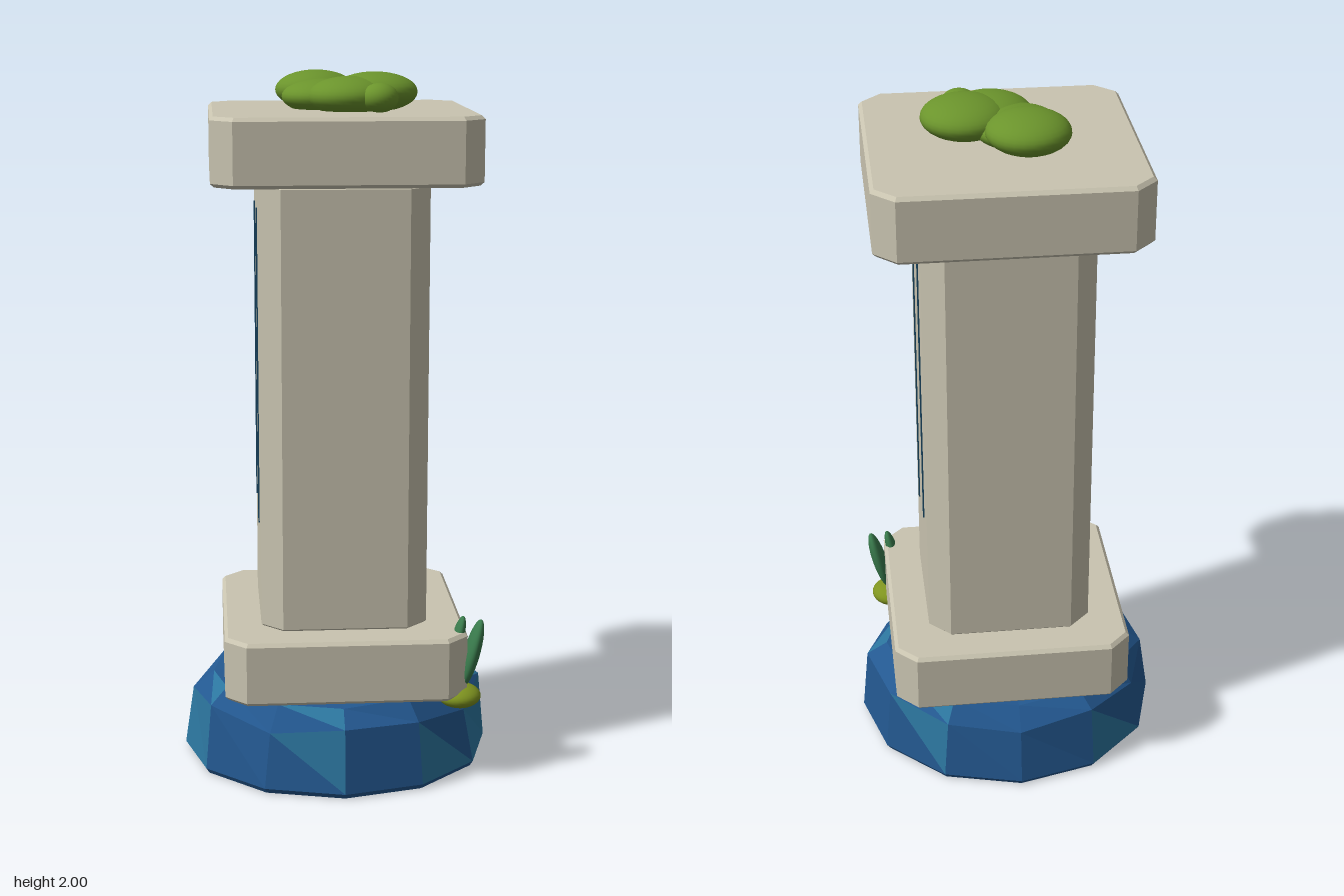
import * as THREE from 'three';

const mat = (name, color) => {
  const m = new THREE.MeshStandardMaterial({ color });
  m.name = name;
  return m;
};

export function createModel() {
  const stone = mat('pale stone', 0xc9c4b0);
  const blue = mat('blue rock', 0x235890);
  const teal = mat('teal rock', 0x2c769f);
  const slitBlue = mat('dark slit', 0x1b4a68);
  const moss = mat('moss green', 0x6b942c);
  const leafGreen = mat('leaf green', 0x397a4c);
  const olive = mat('olive green', 0x7f9420);
  blue.flatShading = teal.flatShading = true;

  const model = new THREE.Group();
  model.name = 'pillar';
  const add = (name, geometry, material, parent = model) => {
    const mesh = new THREE.Mesh(geometry, material);
    mesh.name = name;
    parent.add(mesh);
    return mesh;
  };

  // Faceted rock base: rings of 12 corners, slightly uneven, with teal facets
  const SIDES = 12;
  const profile = [[0, 0.44], [0.015, 0.45], [0.19, 0.425], [0.245, 0.37]];
  const corner = (ring, i) => {
    const k = i % SIDES, a = (k / SIDES) * Math.PI * 2;
    const [y, r] = profile[ring];
    const wobble = ring > 1 ? Math.sin(k * 2.3 + ring) : 0;
    const rr = r + wobble * 0.008;
    return [Math.cos(a) * rr, y + wobble * (ring === 2 ? 0.02 : 0.008), Math.sin(a) * rr * 0.94];
  };
  const facets = { blue: [], teal: [] };
  const tealLower = new Set([0, 1, 5, 7]), tealUpper = new Set([0, 3, 5, 10]);
  for (let i = 0; i < SIDES; i++) {
    for (let r = 0; r < profile.length - 1; r++) {
      const a = corner(r, i), b = corner(r, i + 1), c = corner(r + 1, i + 1), d = corner(r + 1, i);
      facets[r === 1 && tealLower.has(i) ? 'teal' : 'blue'].push(...a, ...c, ...b);
      facets[r > 0 && tealUpper.has(i) ? 'teal' : 'blue'].push(...a, ...d, ...c);
    }
    // Underside and top
    facets.blue.push(0, 0, 0, ...corner(0, i), ...corner(0, i + 1));
    facets.blue.push(0, 0.255, 0, ...corner(3, i + 1), ...corner(3, i));
  }
  const base = new THREE.Group();
  base.name = 'rockBase';
  model.add(base);
  for (const [key, material] of [['blue', blue], ['teal', teal]]) {
    const g = new THREE.BufferGeometry();
    g.setAttribute('position', new THREE.Float32BufferAttribute(facets[key], 3));
    g.computeVertexNormals();
    add(key + 'Facets', g, material, base);
  }

  // Stone blocks: square plan with cut corners and a fine bevel
  const block = (name, w, d, y0, y1, cut, bevel) => {
    const x = w / 2, z = d / 2;
    const shape = new THREE.Shape([
      [x - cut, -z], [x, -z + cut], [x, z - cut], [x - cut, z],
      [-x + cut, z], [-x, z - cut], [-x, -z + cut], [-x + cut, -z],
    ].map(([px, pz]) => new THREE.Vector2(px, pz)));
    const g = new THREE.ExtrudeGeometry(shape, {
      depth: y1 - y0 - 2 * bevel, bevelEnabled: true, bevelSegments: 1,
      bevelSize: bevel, bevelThickness: bevel, bevelOffset: -bevel,
    });
    g.rotateX(-Math.PI / 2).translate(0.0125, y0 + bevel, 0);
    return add(name, g, stone);
  };
  block('plinth', 0.69, 0.7, 0.255, 0.44, 0.06, 0.01);
  block('shaft', 0.475, 0.49, 0.435, 1.705, 0.06, 0.01);
  block('capital', 0.735, 0.737, 1.71, 1.897, 0.06, 0.01);

  // Narrow slits on both flanks of the shaft
  for (const x of [-0.225, 0.25]) {
    for (const [z, bottom] of [[0.088, 0.72], [-0.088, 0.76]]) {
      const slit = add('slit', new THREE.BoxGeometry(0.008, 1.63 - bottom, 0.009), slitBlue);
      slit.position.set(x, (1.63 + bottom) / 2, z);
    }
  }

  // Rounded lumps
  const lump = (name, material, [x, y, z], [rx, ry, rz], tilt = 0, parent = model) => {
    const mesh = add(name, new THREE.SphereGeometry(1, 28, 18), material, parent);
    mesh.scale.set(rx, ry, rz);
    mesh.position.set(x, y, z);
    mesh.rotation.z = tilt;
    return mesh;
  };

  // Moss on the capital
  const mossPatch = new THREE.Group();
  mossPatch.name = 'mossPatch';
  model.add(mossPatch);
  for (const [x, z, r, y, h] of [
    [-0.05, -0.085, 0.115, 1.945, 0.055],
    [-0.03, -0.01, 0.12, 1.93, 0.05],
    [0.107, 0.04, 0.12, 1.945, 0.055],
    [0.035, 0.08, 0.117, 1.935, 0.055],
    [0.11, 0.163, 0.052, 1.935, 0.04],
  ]) lump('mossLump', moss, [x, y, z], [r, h, r], 0, mossPatch);

  // Sprout beside the plinth
  const sprout = new THREE.Group();
  sprout.name = 'sprout';
  model.add(sprout);
  lump('sproutMoss', olive, [0.338, 0.246, 0.27], [0.062, 0.033, 0.064], 0, sprout);
  lump('outerLeaf', leafGreen, [0.373, 0.37, 0.268], [0.022, 0.104, 0.043], -0.26, sprout);
  lump('innerLeaf', leafGreen, [0.328, 0.395, 0.262], [0.018, 0.088, 0.035], -0.24, sprout);

  return model;
}
